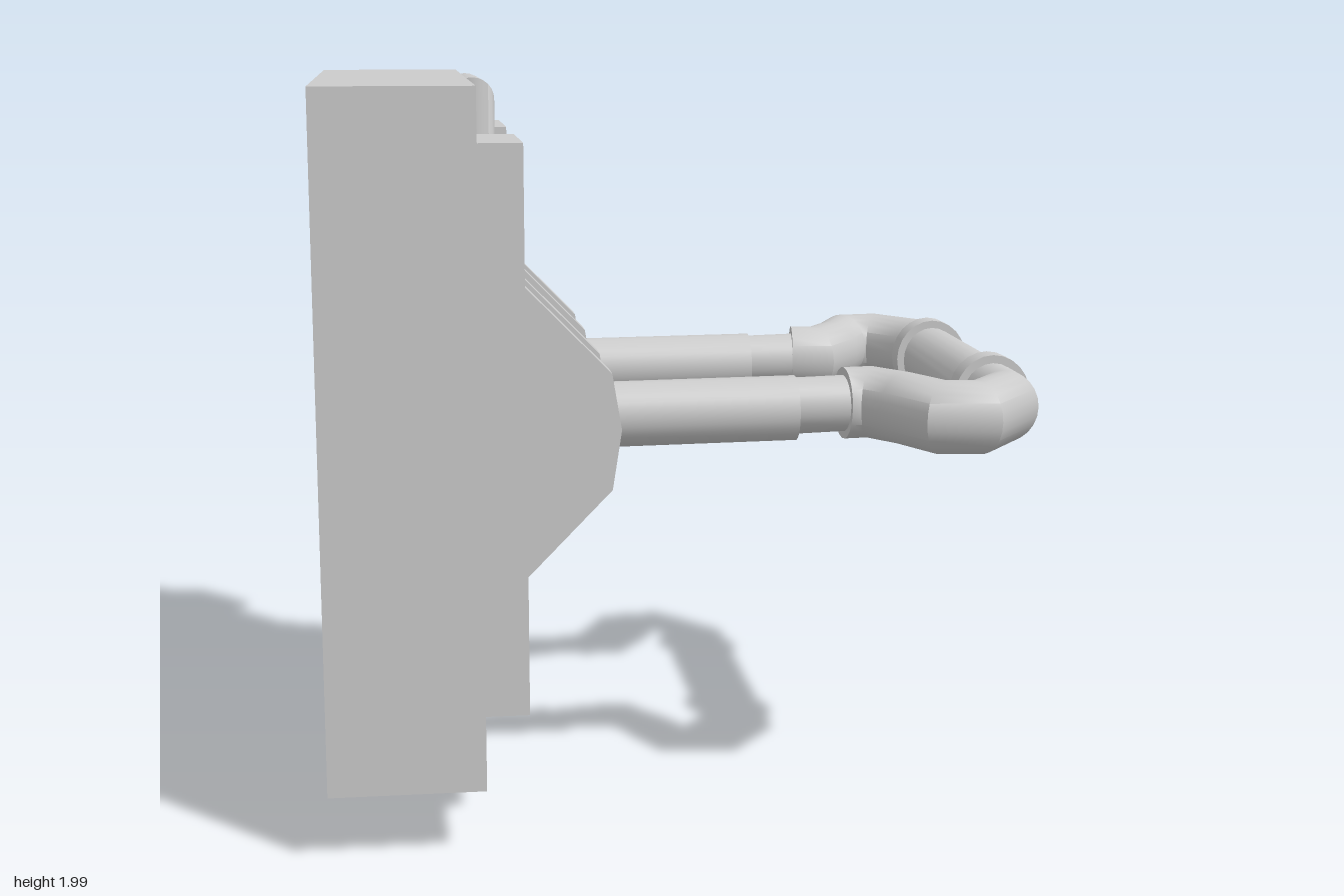
import * as THREE from 'three';
import { toCreasedNormals } from 'three/addons/utils/BufferGeometryUtils.js';

const material = new THREE.MeshStandardMaterial({ color: 0xcccccc });
const SIDES = 24;
const MIRROR_Z = 0.075; // plane the two arms are mirrored about
const ARM_Y = 1.12;

function add(parent, name, geometry, x = 0, y = 0, z = 0) {
  const mesh = new THREE.Mesh(geometry, material);
  mesh.name = name;
  mesh.position.set(x, y, z);
  parent.add(mesh);
  return mesh;
}

// Capped pipe swept along straight segments with mitred joints.
function pipe(points, radius, stretchY = 1) {
  const path = points.map((p) => new THREE.Vector3(...p));
  const dirs = path.slice(1).map((p, i) => p.clone().sub(path[i]).normalize());
  const up = Math.abs(dirs[0].y) > 0.9 ? new THREE.Vector3(1, 0, 0) : new THREE.Vector3(0, 1, 0);
  const side = new THREE.Vector3().crossVectors(up, dirs[0]).normalize();
  const top = new THREE.Vector3().crossVectors(dirs[0], side);
  let ring = [];
  for (let i = 0; i < SIDES; i++) {
    const a = (i / SIDES) * Math.PI * 2;
    ring.push(path[0].clone()
      .addScaledVector(side, Math.cos(a) * radius)
      .addScaledVector(top, Math.sin(a) * radius * stretchY));
  }
  const verts = [];
  const index = [];
  path.forEach((p, k) => {
    if (k > 0) {
      // slide the ring along the segment onto the mitre plane
      const d = dirs[k - 1];
      const n = d.clone().add(dirs[k] || d).normalize();
      ring = ring.map((v) => v.clone().addScaledVector(d, p.clone().sub(v).dot(n) / d.dot(n)));
    }
    ring.forEach((v) => verts.push(v.x, v.y, v.z));
  });
  for (let k = 0; k < path.length - 1; k++) {
    for (let i = 0; i < SIDES; i++) {
      const j = (i + 1) % SIDES;
      const a = k * SIDES + i, b = k * SIDES + j;
      index.push(a, b, b + SIDES, a, b + SIDES, a + SIDES);
    }
  }
  // end caps
  const last = (path.length - 1) * SIDES;
  for (let i = 1; i < SIDES - 1; i++) {
    index.push(0, i + 1, i, last, last + i, last + i + 1);
  }
  const geometry = new THREE.BufferGeometry();
  geometry.setAttribute('position', new THREE.Float32BufferAttribute(verts, 3));
  geometry.setIndex(index);
  return toCreasedNormals(geometry, 0.9);
}

function rectangle(Type, x0, y0, x1, y1) {
  return new Type([[x0, y0], [x1, y0], [x1, y1], [x0, y1]].map((p) => new THREE.Vector2(...p)));
}

// Rectangular frame on the wall with two tapered cheek plates.
function bracket(z) {
  const group = new THREE.Group();
  group.name = 'bracket';
  const outline = rectangle(THREE.Shape, -0.21, 0.33, 0.21, 1.85);
  outline.holes.push(rectangle(THREE.Path, -0.13, 0.43, 0.13, 1.76));
  const frame = new THREE.ExtrudeGeometry(outline, { depth: 0.126, bevelEnabled: false });
  frame.rotateY(Math.PI / 2);
  add(group, 'bracketFrame', frame, -0.571, 0, z);

  const cheek = new THREE.Shape([
    [-0.45, 0.71], [-0.445, 0.71], [-0.22, 0.94], [-0.195, 1.1],
    [-0.22, 1.25], [-0.445, 1.48], [-0.45, 1.48],
  ].map((p) => new THREE.Vector2(...p)));
  for (const offset of [-0.21, 0.13]) {
    const plate = new THREE.ExtrudeGeometry(cheek, { depth: 0.08, bevelEnabled: false });
    add(group, 'bracketCheek', plate, 0, 0, z + offset);
  }
  return group;
}

export function createModel() {
  const model = new THREE.Group();
  model.name = 'wallMountedHandle';

  add(model, 'wallSlab', new THREE.BoxGeometry(0.41, 1.81, 1.57), -0.775, 1.095, 0.075);

  // Brackets, arms and collars, mirrored front to back
  for (const s of [1, -1]) {
    const mz = (d) => MIRROR_Z + s * d;
    model.add(bracket(mz(0.393)));
    add(model, 'armRod', pipe([[-0.56, 1.1, mz(0.397)], [0.305, 1.11, mz(0.39)]], 0.086, 1.04));
    add(model, 'armNeck', pipe([[0.29, 1.115, mz(0.39)], [0.47, 1.12, mz(0.388)]], 0.074, 1.05));
    const collar = add(model, 'gripCollar', new THREE.CylinderGeometry(0.108, 0.108, 0.07, SIDES),
      0.867, 1.123, mz(0.34));
    collar.rotation.x = Math.PI / 2;
    collar.scale.z = 1.1;
  }

  // Curled elbows and the grip between them, as one continuous pipe
  const elbow = [
    [0.44, 0.39], [0.515, 0.382], [0.587, 0.485],
    [0.655, 0.63], [0.755, 0.642], [0.867, 0.495],
  ];
  const front = elbow.map(([x, d]) => [x, ARM_Y, MIRROR_Z + d]);
  const back = elbow.map(([x, d]) => [x, ARM_Y, MIRROR_Z - d]).reverse();
  add(model, 'gripPipe', pipe([...front, ...back], 0.087, 1.14));

  // Drain pipe: up the wall, across the top, round the edge and down the side
  add(model, 'wallPipe', pipe([
    [-0.55, 1.02, 0.3], [-0.55, 1.02, 0.025], [-0.55, 1.933, 0.025],
    [-0.55, 1.93, -0.47], [-0.555, 1.895, -0.665], [-0.56, 1.76, -0.73],
    [-0.575, 1.52, -0.75], [-0.64, 1.475, -0.785], [-0.775, 1.475, -0.778],
    [-0.775, 0.14, -0.776], [-0.81, 0.09, -0.776], [-0.893, 0.075, -0.776],
  ], 0.065));

  return model;
}
